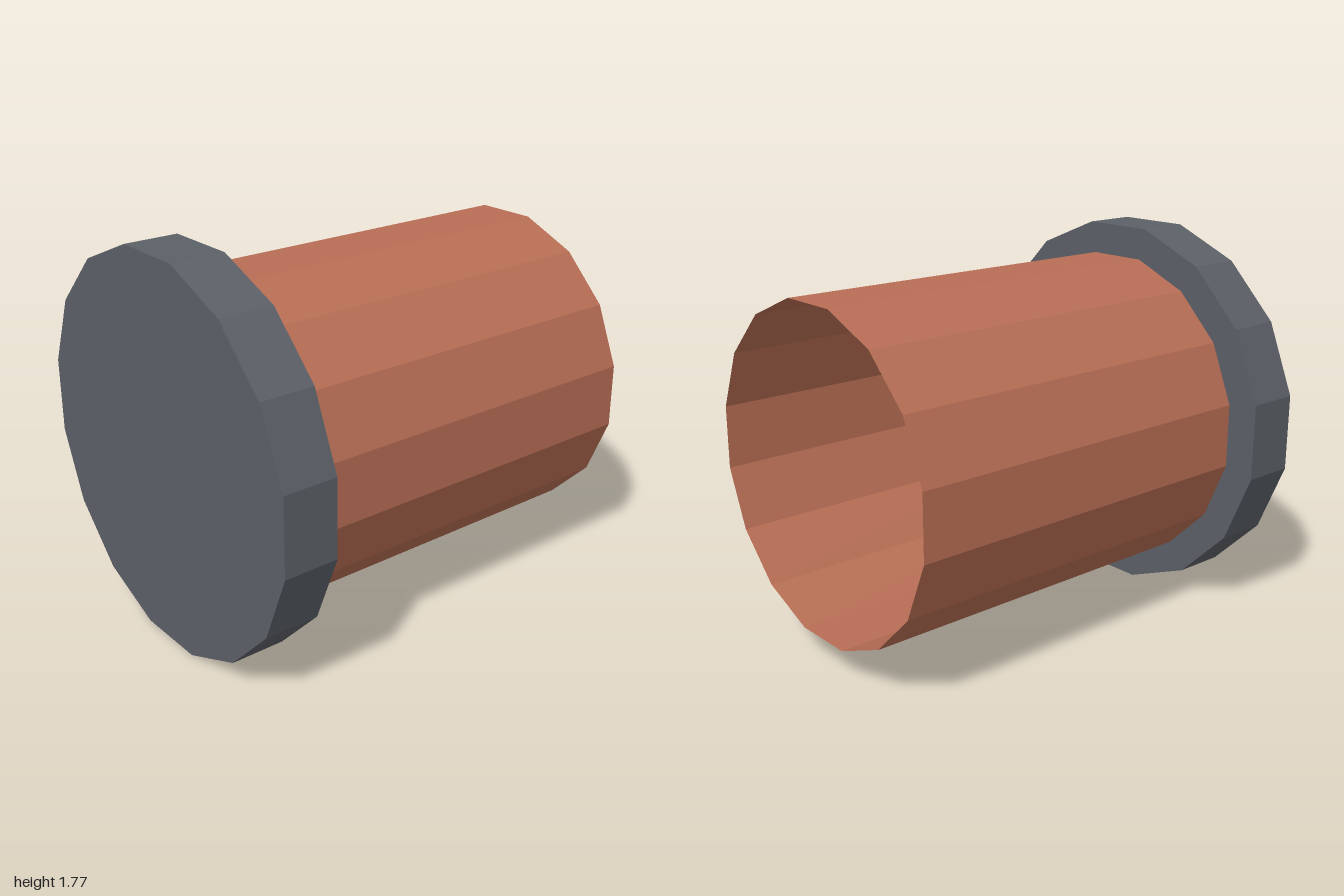
import * as THREE from 'three';

const SIDES = 16;
const HALF_STEP = Math.PI / SIDES; // turns the prism so a flat side points up
const CAP_RADIUS = 0.9;
const TUBE_RADIUS = 0.75;
const CENTRE_Y = CAP_RADIUS * Math.cos(HALF_STEP);

// 16-sided cylinder lying along z, from zBack to zFront
function lyingCylinder(name, radius, zBack, zFront, open, material) {
  const geometry = new THREE.CylinderGeometry(
    radius, radius, zFront - zBack, SIDES, 1, open, HALF_STEP);
  geometry.rotateX(Math.PI / 2);
  const mesh = new THREE.Mesh(geometry, material);
  mesh.name = name;
  mesh.position.set(0, CENTRE_Y, (zBack + zFront) / 2);
  return mesh;
}

export function createModel() {
  const copper = new THREE.MeshStandardMaterial({ color: 0xb86e55, flatShading: true, side: THREE.DoubleSide });
  copper.name = 'copper';
  const darkGrey = new THREE.MeshStandardMaterial({ color: 0x5c6067, flatShading: true });
  darkGrey.name = 'darkGrey';

  const group = new THREE.Group();
  group.name = 'cappedPipe';
  // thin-walled tube, open at the back
  group.add(lyingCylinder('tube', TUBE_RADIUS, -1, 0.75, true, copper));
  // solid end cap at the front
  group.add(lyingCylinder('endCap', CAP_RADIUS, 0.75, 1, false, darkGrey));
  return group;
}
